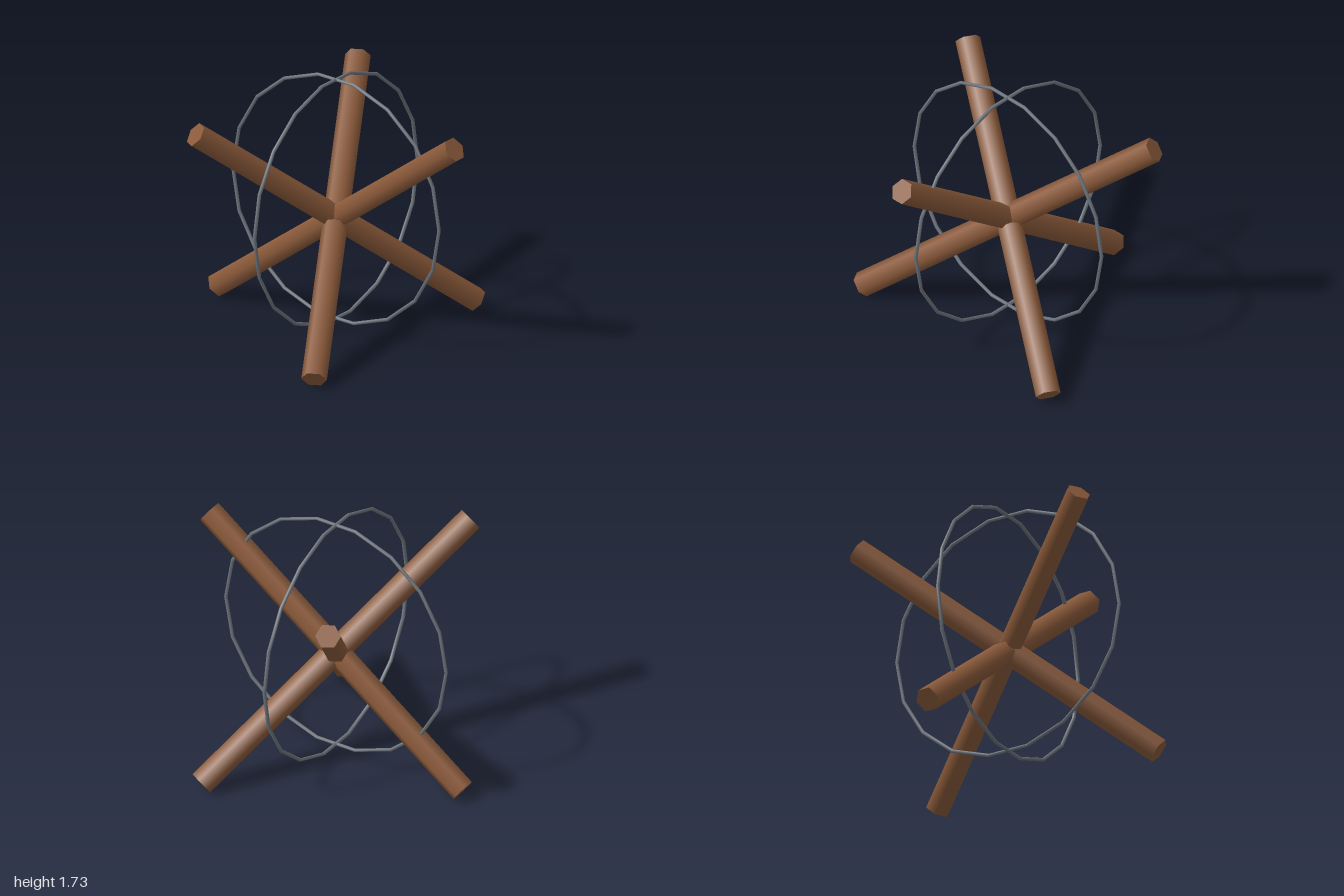
import * as THREE from 'three';

export function createModel() {
  const group = new THREE.Group();
  const wood = new THREE.MeshStandardMaterial({ color: 0x8b5a3a });
  const metal = new THREE.MeshStandardMaterial({ color: 0x6c747c });

  // Three six-sided beams crossing in the middle, a third of a turn apart
  const beamGeometry = new THREE.CylinderGeometry(0.082, 0.082, 2.396, 6);
  beamGeometry.rotateZ(-THREE.MathUtils.degToRad(53.2));
  for (let i = 0; i < 3; i++) {
    const beam = new THREE.Mesh(beamGeometry, wood);
    beam.name = `beam${i + 1}`;
    beam.position.y = 0.775;
    beam.rotation.y = (i * Math.PI * 2) / 3;
    group.add(beam);
  }

  // Two upright wire hoops at right angles
  const hoopGeometry = new THREE.TorusGeometry(0.834, 0.012, 6, 18);
  for (let i = 0; i < 2; i++) {
    const hoop = new THREE.Mesh(hoopGeometry, metal);
    hoop.name = i === 0 ? 'sidewaysHoop' : 'lengthwiseHoop';
    hoop.position.y = 0.9;
    hoop.rotation.y = (i * Math.PI) / 2;
    group.add(hoop);
  }

  return group;
}
